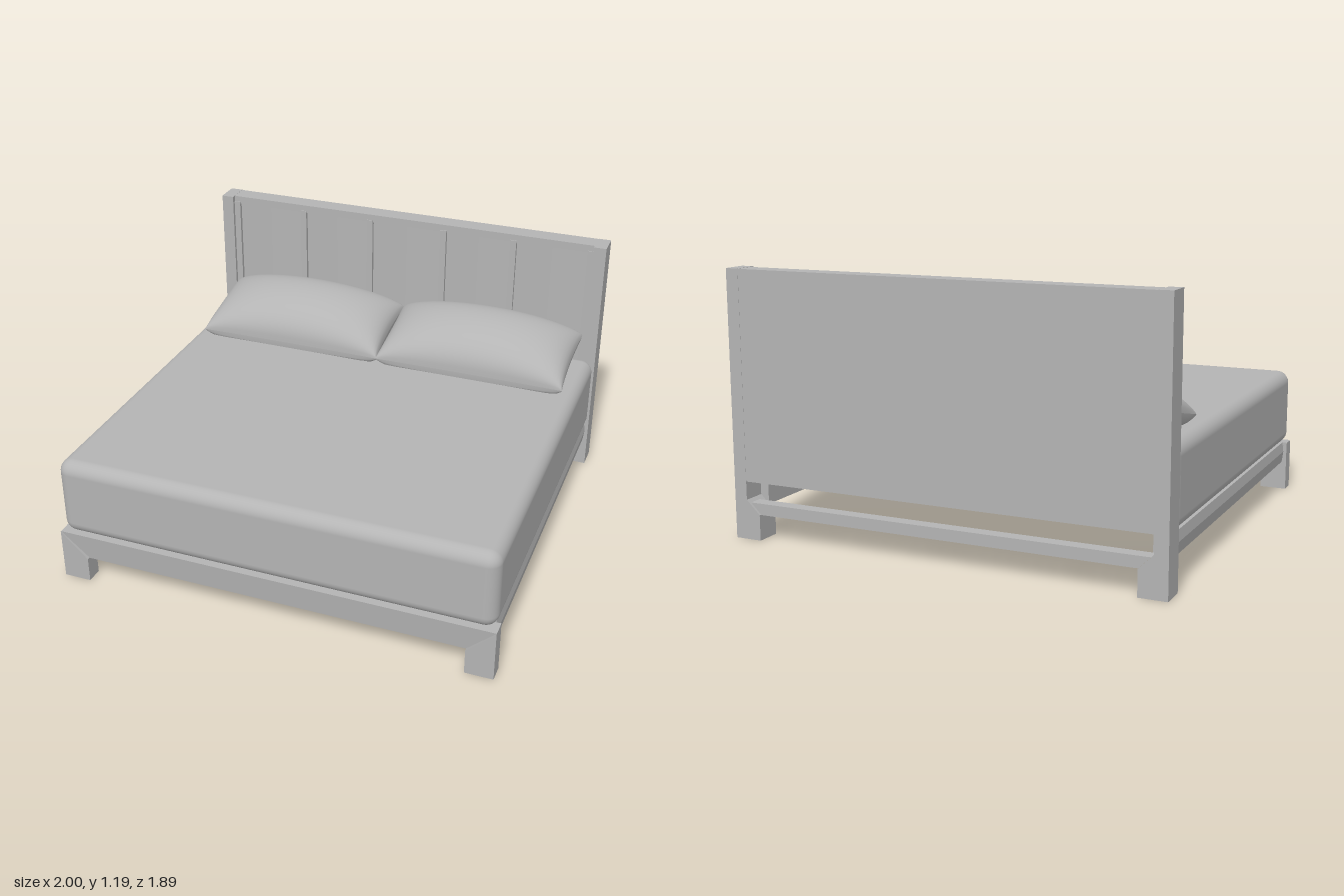
import * as THREE from 'three';
import { mergeGeometries } from 'three/addons/utils/BufferGeometryUtils.js';
import { RoundedBoxGeometry } from 'three/addons/geometries/RoundedBoxGeometry.js';

export function createModel() {
  const bed = new THREE.Group();
  bed.name = 'bed';
  const grey = new THREE.MeshStandardMaterial({ color: 0xb4b4b4 });
  grey.name = 'plain grey';

  const add = (name, geometry) => {
    const mesh = new THREE.Mesh(geometry, grey);
    mesh.name = name;
    bed.add(mesh);
    return mesh;
  };
  // Box given by its minimum and maximum on each axis
  const box = (name, x0, x1, y0, y1, z0, z1) => {
    const mesh = add(name, new THREE.BoxGeometry(x1 - x0, y1 - y0, z1 - z0));
    mesh.position.set((x0 + x1) / 2, (y0 + y1) / 2, (z0 + z1) / 2);
    return mesh;
  };
  // Outline of [a, b] points extruded by depth
  const prism = (points, depth) => new THREE.ExtrudeGeometry(
    new THREE.Shape(points.map(([a, b]) => new THREE.Vector2(a, b))),
    { depth, bevelEnabled: false });

  // Mattress, reaching back to the headboard panels
  const mattress = add('mattress', new RoundedBoxGeometry(1.986, 0.363, 1.79, 6, 0.058));
  mattress.position.set(0, 0.4135, 0.04);

  // Front legs with mitred tops, rear posts with low wide feet, side rails
  for (const s of [-1, 1]) {
    const side = s > 0 ? 'left' : 'right';
    const outline = [[s, 0], [s, 0.235], [s * 0.875, 0.115], [s * 0.875, 0]];
    add(side + 'FrontLeg', prism(outline, 0.075)).position.z = 0.868;
    const [p0, p1] = s > 0 ? [0.94, 1] : [-1, -0.94];
    box(side + 'HeadboardPost', p0, p1, 0, 1.19, -0.945, -0.83);
    const foot = [[s * 0.94, 0], [s * 0.94, 0.178], [s * 0.875, 0.115], [s * 0.875, 0]];
    add(side + 'RearFoot', prism(foot, 0.115)).position.z = -0.945;
    const rail = prism([[s * 0.978, 0.236], [s * 0.985, 0.19], [s * 0.978, 0.137],
      [s * 0.9, 0.137], [s * 0.9, 0.236]], 1.72);
    add(side + 'SideRail', rail).position.z = -0.84;
  }

  // Front rail: slightly leaning face, ends cut at the same mitre as the legs
  const frontRail = prism([[-1, 0.236], [-0.873, 0.114], [0.873, 0.114], [1, 0.236]], 0.07);
  const rp = frontRail.attributes.position;
  for (let i = 0; i < rp.count; i++) {
    if (rp.getZ(i) > 0.03 && rp.getY(i) < 0.2) rp.setZ(i, 0.058);
  }
  frontRail.computeVertexNormals();
  add('frontRail', frontRail).position.z = 0.87;

  // Rear rail, well below the headboard, mitred into the feet
  add('rearRail', prism([[-0.925, 0.165], [-0.873, 0.114], [0.873, 0.114], [0.925, 0.165]], 0.06))
    .position.z = -0.935;

  // Headboard: back plate, top rim, ribs and gently bowed panels
  box('headboardPlate', -0.94, 0.94, 0.26, 1.189, -0.944, -0.866);
  box('headboardTopRim', -0.94, 0.94, 1.15, 1.189, -0.866, -0.852);
  const ribs = [-0.925, -0.555, -0.195, 0.19, 0.545, 0.925];
  ribs.forEach((x, i) => {
    box('headboardRib', x - 0.016, x + 0.016, 0.26, 1.16, -0.866, -0.847);
    if (i === 0) return;
    const w = x - ribs[i - 1] - 0.032;
    const arc = new THREE.CylinderGeometry(w, w, 0.89, 16, 1, true, -Math.PI / 6, Math.PI / 3);
    arc.translate(0, 0, -w * Math.cos(Math.PI / 6)).scale(1, 1, 0.15);
    add('headboardPanel', arc).position.set((x + ribs[i - 1]) / 2, 0.705, -0.865);
  });

  // Pillow half: a grid swollen away from a seam that rises to the back
  const pillowHalf = (up) => {
    const g = new THREE.PlaneGeometry(2, 2, 32, 32);
    const p = g.attributes.position;
    for (let i = 0; i < p.count; i++) {
      const a = p.getX(i) * up * Math.PI / 2, b = p.getY(i) * Math.PI / 2;
      const u = Math.sin(a), v = Math.sin(b);
      const swell = Math.abs(Math.cos(a)) ** 0.85 * Math.abs(Math.cos(b)) ** 0.75;
      const seam = 0.669 + 0.046 * v;
      const y = up > 0 ? seam + 0.165 * swell : Math.max(0.592, seam - 0.16 * swell);
      // Sides pulled in between the corners
      const x = 0.465 * u * (1 - 0.025 * (1 - v * v));
      const z = -0.63 - 0.212 * v * (1 - 0.02 * (1 - u * u));
      p.setXYZ(i, x, y, z);
    }
    g.computeVertexNormals();
    return g;
  };
  const pillow = mergeGeometries([pillowHalf(1), pillowHalf(-1)]);
  add('rightPillow', pillow).position.x = -0.465;
  add('leftPillow', pillow).position.x = 0.46;

  return bed;
}
